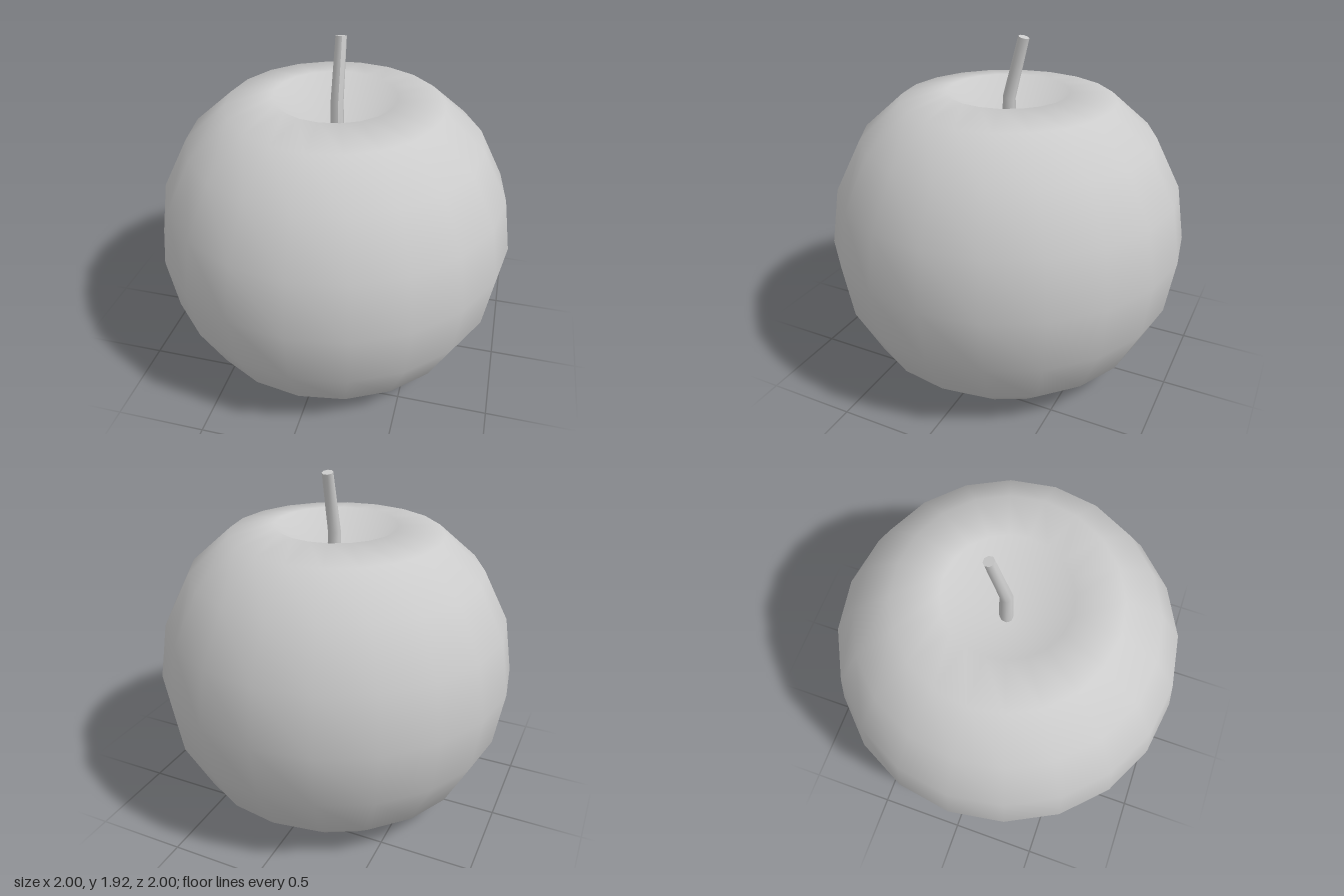
import * as THREE from 'three';
import { mergeVertices } from 'three/addons/utils/BufferGeometryUtils.js';

const grey = new THREE.MeshStandardMaterial({ color: 0xcccccc });

// Fruit body: a 20-sided lathe, dimpled at both poles, smooth all over
function makeBody() {
  const profile = [
    [0, 0.29], [0.31, 0.17], [0.588, 0], [0.809, 0.2], [0.951, 0.48], [1, 0.79],
    [0.951, 1.1], [0.809, 1.38], [0.588, 1.575], [0.335, 1.615], [0, 1.3],
  ].map(([r, y]) => new THREE.Vector2(r, y));
  const lathe = new THREE.LatheGeometry(profile, 20);
  // weld the seam and the poles so the normals run smoothly across them
  lathe.deleteAttribute('normal');
  lathe.deleteAttribute('uv');
  const geometry = mergeVertices(lathe, 1e-4);
  geometry.computeVertexNormals();
  const mesh = new THREE.Mesh(geometry, grey);
  mesh.name = 'fruitBody';
  return mesh;
}

// Stem: a tapered cylinder, upright inside the dimple, then bent backwards
function makeStem() {
  const base = 1.25, kink = 1.58, top = 1.91, lean = 0.24;
  const geometry = new THREE.CylinderGeometry(0.03, 0.04, top - base, 8, 2);
  geometry.rotateY(Math.PI / 8);
  geometry.translate(0, (top + base) / 2, 0);
  const p = geometry.attributes.position;
  for (let i = 0; i < p.count; i++) {
    const y = p.getY(i), z = p.getZ(i);
    const t = Math.max(0, (y - kink) / (top - kink));
    const tilt = y < kink - 0.01 ? 0 : t > 0.5 ? lean : lean / 2;
    // tilt each ring to stay square to the bent axis
    p.setXYZ(i, p.getX(i), y + z * Math.sin(tilt), z * Math.cos(tilt) - 0.01 - 0.083 * t);
  }
  // caps keep their own vertices, so only the side is smoothed
  const side = geometry.index;
  geometry.computeVertexNormals();
  geometry.setIndex(side);
  const mesh = new THREE.Mesh(geometry, grey);
  mesh.position.x = 0.008;
  mesh.name = 'stem';
  return mesh;
}

export function createModel() {
  const model = new THREE.Group();
  model.name = 'fruit';
  model.add(makeBody(), makeStem());
  return model;
}
